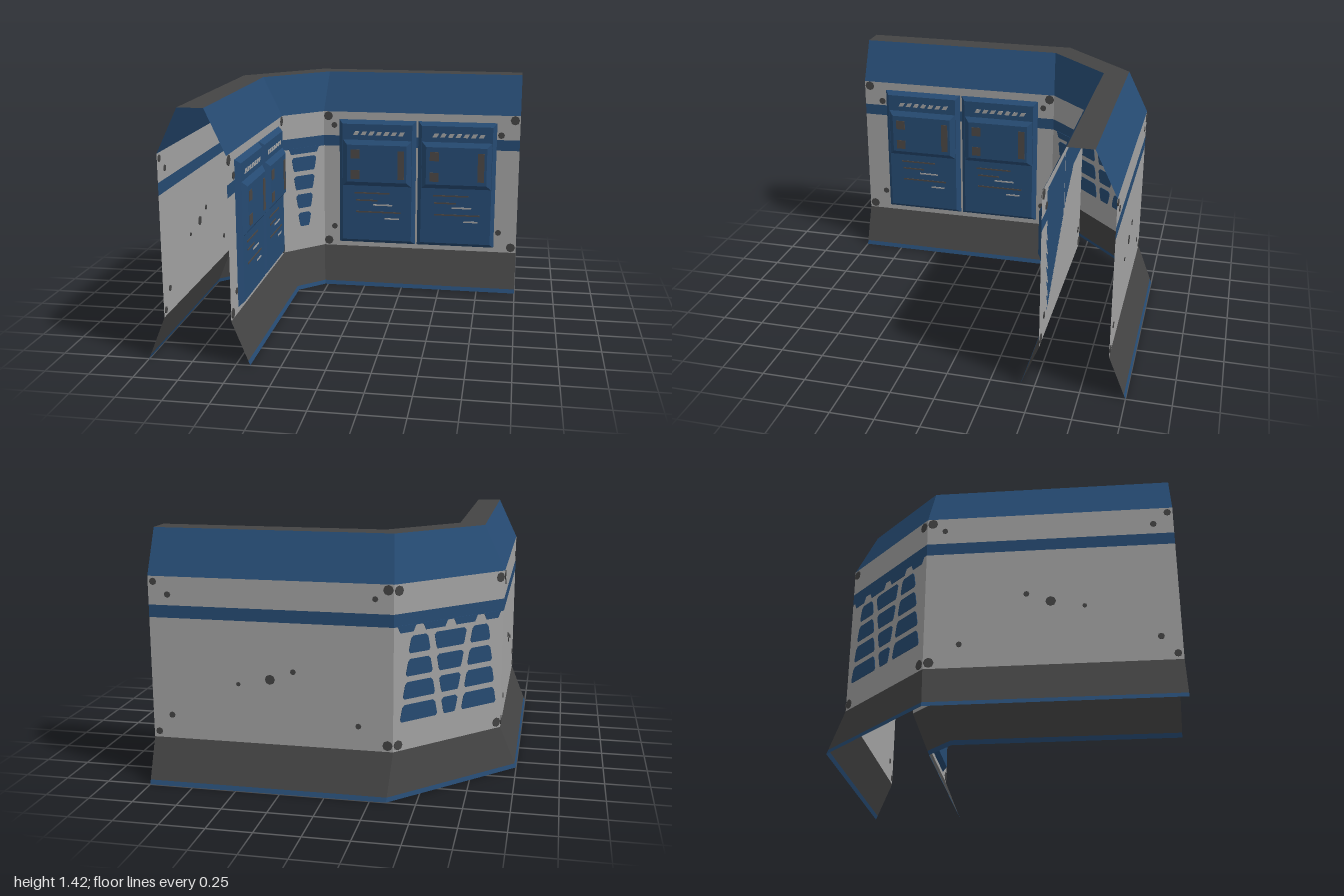
import * as THREE from 'three';

const material = (name, color) => {
  const m = new THREE.MeshStandardMaterial({ color, side: THREE.DoubleSide });
  m.name = name;
  return m;
};

export function createModel() {
  const lightGrey = material('light grey', 0xa2a2a2);
  const darkGrey = material('dark grey', 0x444444);
  const blue = material('blue', 0x264b73);
  const brownGrey = material('brown grey', 0x4b4745);

  const model = new THREE.Group();
  model.name = 'cornerWall';

  const add = (parent, name, geometry, mat) => {
    const mesh = new THREE.Mesh(geometry, mat);
    mesh.name = name;
    parent.add(mesh);
    return mesh;
  };

  // Hollow shell: [distance from centre, height, corner position, colour and name up to the next point]
  const section = [
    [1, 0, 0.34, blue, 'outerFootTrim'],
    [0.99, 0.025, 0.342, darkGrey, 'outerFoot'],
    [0.9, 0.25, 0.36, lightGrey, 'outerWallLower'],
    [0.9, 0.94, 0.36, blue, 'outerWallBand'],
    [0.9, 1.01, 0.36, lightGrey, 'outerWallUpper'],
    [0.9, 1.17, 0.36, blue, 'outerTopSlope'],
    [0.78, 1.42, 0.34, darkGrey, 'wallTop'],
    [0.635, 1.42, 0.27, blue, 'innerTopSlope'],
    [0.52, 1.17, 0.29, lightGrey, 'innerWallUpper'],
    [0.52, 1.01, 0.29, blue, 'innerWallBand'],
    [0.52, 0.94, 0.29, lightGrey, 'innerWallLower'],
    [0.52, 0.25, 0.29, darkGrey, 'innerFoot'],
    [0.43, 0.025, 0.272, blue, 'innerFootTrim'],
    [0.42, 0, 0.27],
  ];
  const stations = ([d, y, s]) => [[-d, y, 1], [-d, y, -s], [-s, y, -d], [1, y, -d]];
  for (let i = 0; i < section.length - 1; i++) {
    const a = stations(section[i]);
    const b = stations(section[i + 1]);
    const pos = [];
    for (let j = 0; j < 3; j++) {
      pos.push(...a[j], ...b[j + 1], ...a[j + 1], ...a[j], ...b[j], ...b[j + 1]);
    }
    const geometry = new THREE.BufferGeometry();
    geometry.setAttribute('position', new THREE.Float32BufferAttribute(pos, 3));
    geometry.computeVertexNormals();
    add(model, section[i][4], geometry, section[i][3]);
  }

  // A wall frame: local x runs along the wall, local z points out of it
  const frame = (name, x, z, angle) => {
    const g = new THREE.Group();
    g.name = name;
    g.position.set(x, 0, z);
    g.rotation.y = angle;
    model.add(g);
    return g;
  };

  // Thin plate of any outline, centred on depth z
  const plate = (parent, name, points, mat, z = 0) => {
    const shape = new THREE.Shape(points.map(([x, y]) => new THREE.Vector2(x, y)));
    const geometry = new THREE.ExtrudeGeometry(shape, { depth: 0.006, bevelEnabled: false });
    return add(parent, name, geometry.translate(0, 0, z - 0.003), mat);
  };
  const bar = (parent, name, x0, x1, y0, y1, mat, z, slant = 0) =>
    plate(parent, name, [[x0, y0], [x1, y0], [x1 + slant, y1], [x0 + slant, y1]], mat, z);

  const bolt = (parent, x, y, r) => {
    const geometry = new THREE.CylinderGeometry(r, r, 0.008, 8);
    geometry.rotateX(Math.PI / 2).translate(x, y, 0);
    add(parent, 'bolt', geometry, darkGrey);
  };

  // Box whose front is drawn in to make bevelled sides
  const bevelBlock = (parent, name, x0, x1, y0, y1, z0, z1, inset, mat) => {
    const w = x1 - x0, h = y1 - y0;
    const geometry = new THREE.BoxGeometry(w, h, z1 - z0);
    const p = geometry.attributes.position;
    for (let i = 0; i < p.count; i++) {
      if (p.getZ(i) > 0) {
        p.setX(i, p.getX(i) * (1 - 2 * inset / w));
        p.setY(i, p.getY(i) * (1 - 2 * inset / h));
      }
    }
    geometry.translate((x0 + x1) / 2, (y0 + y1) / 2, (z0 + z1) / 2);
    geometry.computeVertexNormals();
    add(parent, name, geometry, mat);
  };

  // Locker door with raised upper panel, vent marks and printed lines
  const door = (parent, x) => {
    const g = new THREE.Group();
    g.name = 'lockerDoor';
    g.position.x = x;
    parent.add(g);
    bevelBlock(g, 'doorBody', 0, 0.512, 0.28, 1.12, 0, 0.03, 0.025, blue);
    bevelBlock(g, 'doorPanel', 0.028, 0.484, 0.68, 0.99, 0.03, 0.055, 0.03, blue);
    for (let i = 0; i < 7; i++) {
      const left = 0.095 + i * 0.05;
      bar(g, 'lightMark', left, left + 0.03, 1.022, 1.047, lightGrey, 0.03, 0.014);
    }
    for (const y of [0.73, 0.868]) bar(g, 'panelMark', 0.082, 0.142, y, y + 0.06, brownGrey, 0.055);
    bar(g, 'panelHandle', 0.395, 0.438, 0.735, 0.925, brownGrey, 0.055);
    const lines = [
      [0.105, 0.34, 0.63, brownGrey], [0.115, 0.26, 0.58, brownGrey],
      [0.23, 0.36, 0.55, lightGrey], [0.115, 0.415, 0.5, brownGrey],
      [0.31, 0.405, 0.457, lightGrey],
    ];
    for (const [x0, x1, y, mat] of lines) bar(g, 'doorLine', x0, x1, y - 0.005, y + 0.005, mat, 0.03);
  };

  // Straight walls; sign maps the distance along the arm to local x
  const innerBolts = [
    [-0.26, 1.14, 0.03], [-0.26, 0.285, 0.03], [0.965, 1.14, 0.03], [0.965, 0.285, 0.03],
    [-0.22, 1.08, 0.02], [-0.22, 0.385, 0.02], [0.88, 1.04, 0.022], [0.88, 0.385, 0.02],
  ];
  const outerBolts = [
    [-0.33, 1.14, 0.028], [-0.33, 0.285, 0.028], [0.97, 1.14, 0.02], [0.97, 0.285, 0.02],
    [-0.26, 1.09, 0.016], [-0.17, 0.385, 0.016], [0.89, 1.07, 0.018], [0.89, 0.385, 0.018],
    [0.32, 0.62, 0.028], [0.19, 0.67, 0.016], [0.5, 0.585, 0.012],
  ];
  const walls = [
    ['innerRearWall', 0, -0.52, 0, 1, innerBolts],
    ['innerSideWall', -0.52, 0, Math.PI / 2, -1, innerBolts],
    ['outerRearWall', 0, -0.9, Math.PI, -1, outerBolts],
    ['outerSideWall', -0.9, 0, -Math.PI / 2, 1, outerBolts],
  ];
  for (const [name, x, z, angle, sign, bolts] of walls) {
    const wall = frame(name, x, z, angle);
    for (const [u, y, r] of bolts) bolt(wall, sign * u, y, r);
    if (bolts === innerBolts) {
      for (const u of [-0.185, 0.34]) door(wall, sign > 0 ? u : -u - 0.512);
    }
  }

  // Column of four tapering vents, from bottom width to top width
  const vents = (parent, x, bottom, top) => {
    const half = (y) => THREE.MathUtils.lerp(bottom, top, (y - 0.41) / 0.47) / 2;
    for (let i = 0; i < 4; i++) {
      const y0 = 0.41 + i * 0.126, y1 = y0 + 0.094;
      const lower = half(y0), upper = half(y1), c = 0.015;
      plate(parent, 'vent', [
        [x - lower + c / 2, y0], [x + lower - c / 2, y0], [x + lower, y0 + c],
        [x + upper, y1 - c], [x + upper - c, y1], [x - upper + c, y1],
        [x - upper, y1 - c], [x - lower, y0 + c],
      ], blue);
    }
  };
  const drip = (parent, x0, x1) =>
    plate(parent, 'bandDrip', [[x0 + 0.02, 0.905], [x1 - 0.02, 0.905], [x1, 0.945], [x0, 0.945]], blue);

  // Diagonal corner faces
  const innerCorner = frame('innerCorner', -0.405, -0.405, Math.PI / 4);
  vents(innerCorner, 0, 0.075, 0.19);
  drip(innerCorner, -0.12, 0.12);

  const outerCorner = frame('outerCorner', -0.63, -0.63, Math.PI * 1.25);
  vents(outerCorner, -0.212, 0.25, 0.115);
  vents(outerCorner, 0, 0.085, 0.22);
  vents(outerCorner, 0.212, 0.25, 0.115);
  for (const [x0, x1] of [[-0.36, -0.235], [-0.19, -0.02], [0.02, 0.19], [0.235, 0.36]]) {
    drip(outerCorner, x0, x1);
  }
  for (const x of [-0.35, 0.35]) {
    for (const y of [0.285, 1.135]) bolt(outerCorner, x, y, 0.028);
  }

  return model;
}
